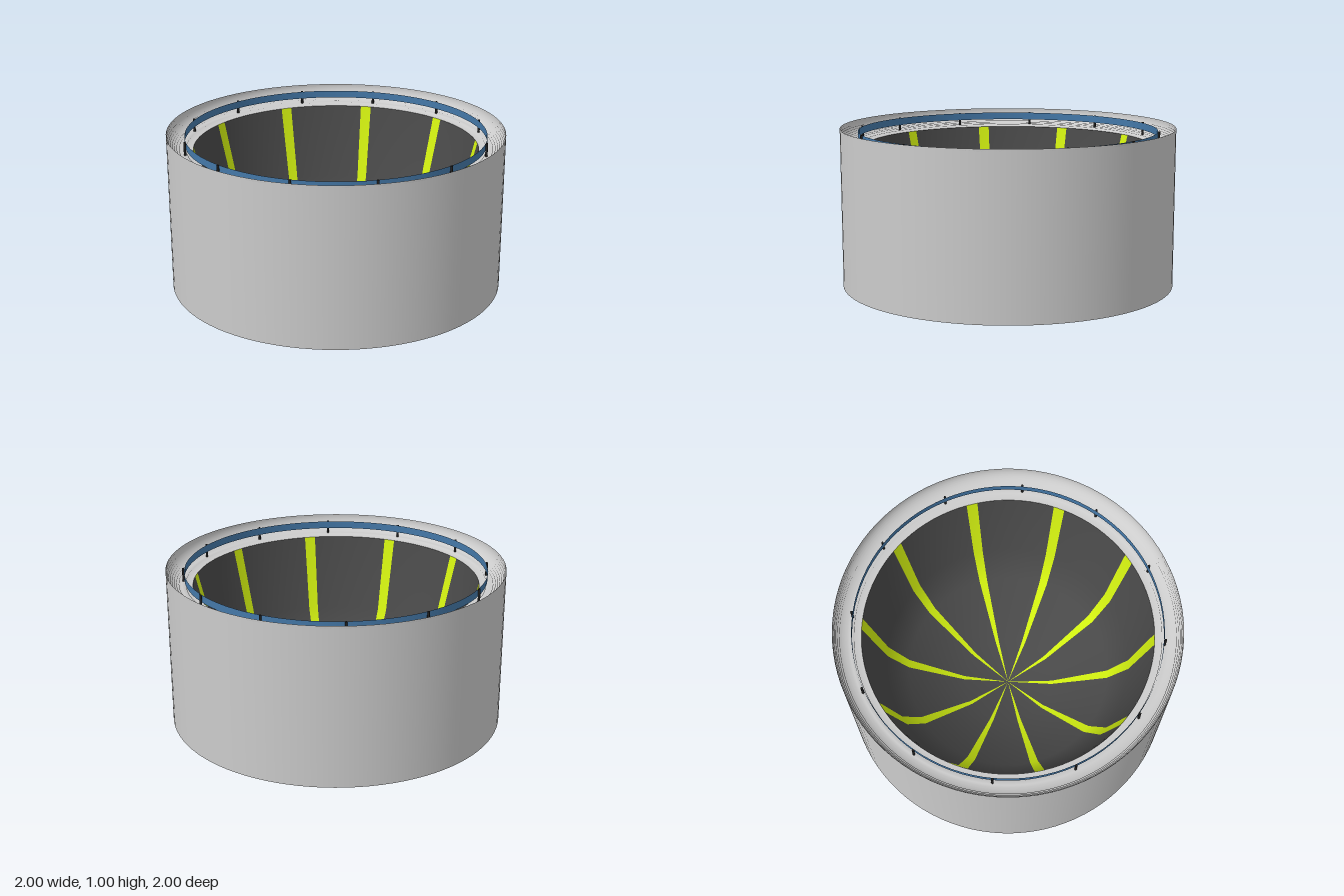
import * as THREE from 'three';

export function createModel() {
  const model = new THREE.Group();
  const mat = (color) => new THREE.MeshStandardMaterial({ color, side: THREE.DoubleSide });
  const grey = mat(0xcccccc), dark = mat(0x484848), lime = mat(0xd0ee10), blue = mat(0x4478a8), black = mat(0x222222);

  const lathe = (name, points, material, segments = 96, start = 0, length = Math.PI * 2) => {
    const profile = points.map(([r, y]) => new THREE.Vector2(r, y));
    const mesh = new THREE.Mesh(new THREE.LatheGeometry(profile, segments, start, length), material);
    mesh.name = name;
    model.add(mesh);
    return mesh;
  };

  // Open outer wall
  lathe('outerWall', [[1, 0.055], [1, 1.005]], grey);

  // Finely stepped, concave slope from the wall's top down to the ledge
  const steps = 10, slope = [[1, 1.005]];
  for (let i = 1; i <= steps; i++) {
    const a = (i / steps) * Math.PI * 0.42;
    const r = 1 - 0.09 * (1 - Math.cos(a)) / (1 - Math.cos(Math.PI * 0.42));
    const y = 1.005 - 0.095 * Math.sin(a) / Math.sin(Math.PI * 0.42);
    slope.push([slope[slope.length - 1][0], y], [r, y]);
  }
  lathe('steppedRim', slope, grey);

  // Flat ledge around the bowl, with a low inner lip
  lathe('ledge', [[0.91, 0.91], [0.885, 0.91], [0.885, 0.9], [0.845, 0.9]], grey);

  // Thin band held above the ledge by small posts
  lathe('railBand', [[0.893, 0.943], [0.893, 0.988]], blue);
  for (let i = 0; i < 12; i++) {
    const a = (i / 12) * Math.PI * 2;
    const post = new THREE.Mesh(new THREE.CylinderGeometry(0.007, 0.007, 0.08, 10), black);
    post.name = 'railPost';
    post.position.set(0.9 * Math.sin(a), 0.95, 0.9 * Math.cos(a));
    model.add(post);
  }

  // Bowl made of ten dark panels with narrow tapering stripes between them
  const bowl = [[0, 0], [0.28, 0.035], [0.62, 0.25], [0.735, 0.45], [0.845, 0.9]];
  const pitch = Math.PI / 5, stripe = THREE.MathUtils.degToRad(4.5);
  for (let i = 0; i < 10; i++) {
    lathe('bowlStripe', bowl, lime, 2, i * pitch, stripe);
    lathe('bowlPanel', bowl, dark, 8, i * pitch + stripe, pitch - stripe);
  }
  return model;
}
